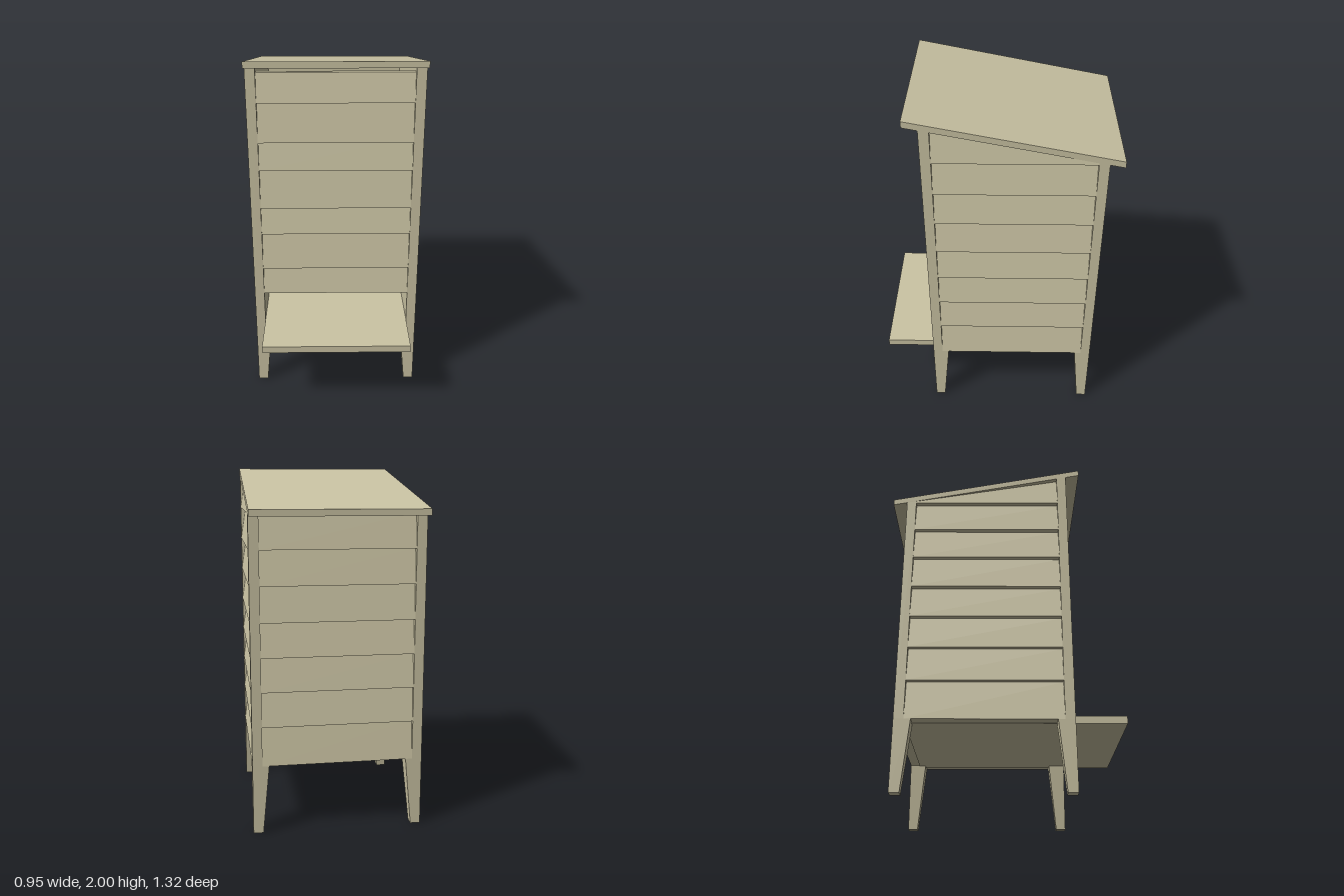
import * as THREE from 'three';

// outer planes of the body, board thickness and floor height
const X = 0.475, ZF = 0.38, ZB = -0.575, T = 0.055, BASE = 0.39;
const RECESS = 0.03;
const LINES = [BASE, 0.61, 0.805, 0.995, 1.185, 1.38, 1.57, 1.76, 1.95];

// height of the sloping roof underside at depth z
const under = z => 1.965 - 0.197 * (0.46 - z);

export function createModel() {
  const group = new THREE.Group();
  const wood = new THREE.MeshStandardMaterial({ color: 0xcbc4a4 });
  wood.name = 'pale wood';

  // six-sided board: rule maps box corners (0 or 1 on each axis) to a position
  function block(name, rule) {
    const geo = new THREE.BoxGeometry(1, 1, 1);
    const p = geo.attributes.position;
    for (let i = 0; i < p.count; i++) {
      p.setXYZ(i, ...rule(p.getX(i) + 0.5, p.getY(i) + 0.5, p.getZ(i) + 0.5));
    }
    geo.computeVertexNormals();
    const mesh = new THREE.Mesh(geo, wood);
    mesh.name = name;
    group.add(mesh);
  }
  const mix = (a, b, t) => a + (b - a) * t;

  // sloping roof board
  block('roof', (u, v, w) => {
    const z = mix(-0.655, 0.46, w);
    return [mix(-X, X, u), under(z) + 0.035 * v, z];
  });

  // floor running out into the landing board
  block('landingBoard', (u, v, w) => [mix(-0.42, 0.42, u), mix(0.385, 0.425, v), mix(-0.52, 0.66, w)]);

  // corner posts and tapered legs
  for (const sx of [-1, 1]) {
    for (const sz of [-1, 1]) {
      const zOut = sz > 0 ? ZF : ZB;
      const place = (u, w, size) => [
        sx * (X - ((u === 1) === (sx > 0) ? 0 : size)),
        zOut - sz * ((w === 1) === (sz > 0) ? 0 : size),
      ];
      block('cornerPost', (u, v, w) => {
        const [x, z] = place(u, w, T);
        return [x, v ? under(z) : BASE, z];
      });
      block('leg', (u, v, w) => {
        const [x, z] = place(u, w, mix(T, 0.092, v));
        return [x, v * BASE, z];
      });
    }
  }

  // how far a slat leans back at height y
  const lean = (y, y0, y1) => RECESS * (y - y0) / (y1 - y0);

  for (let i = 0; i < LINES.length - 1; i++) {
    const y0 = LINES[i], y1 = LINES[i + 1];

    // side slats, the top one cut along the roof
    for (const s of [-1, 1]) {
      block('sideSlat', (u, v, w) => {
        const z = mix(ZB + T, ZF - T, w);
        const y = v ? Math.min(y1, under(z)) : y0;
        const outer = (u === 1) === (s > 0);
        return [s * (outer ? X - lean(y, y0, y1) : X - T), y, z];
      });
    }

    // back slats
    if (y1 < 1.9) {
      block('backSlat', (u, v, w) => {
        const y = v ? y1 : y0;
        return [mix(-0.42, 0.42, u), y, w ? ZB + T : ZB + lean(y, y0, y1)];
      });
    }

    // front slats above the open entrance; every other one has a deeper lip
    if (i > 0) {
      const low = i % 2 === 0 ? y0 - 0.03 : y0;
      const top = Math.min(y1, 1.92);
      block('frontSlat', (u, v, w) => {
        const y = v ? top : low;
        return [mix(-0.42, 0.42, u), y, w ? ZF - lean(y, low, y1) : ZF - T];
      });
    }
  }
  return group;
}
